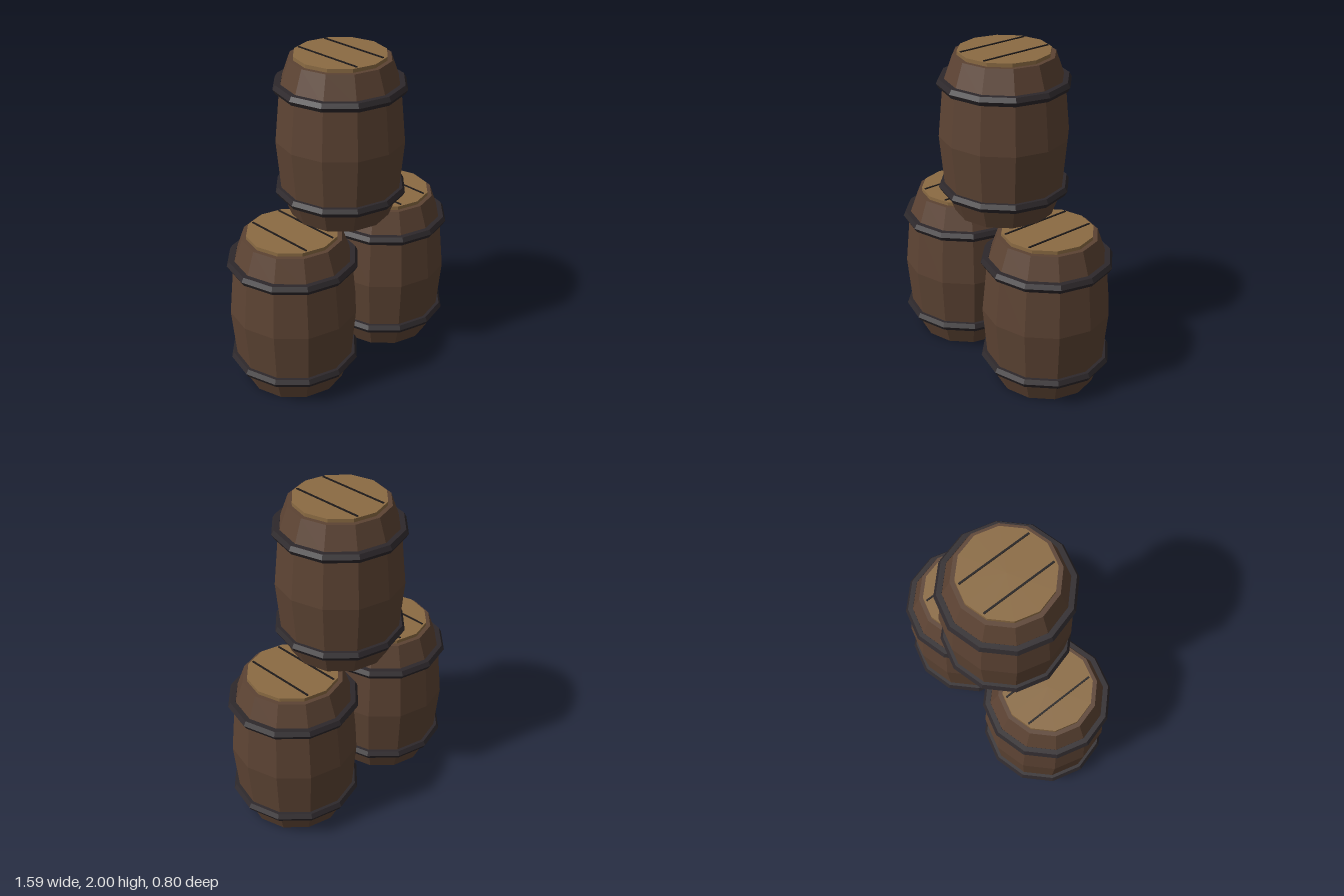
import * as THREE from 'three';

const SIDES = 12;

function material(name, color) {
  const m = new THREE.MeshStandardMaterial({ color, flatShading: true });
  m.name = name;
  return m;
}

function part(parent, name, geometry, mat, x = 0, y = 0, z = 0) {
  const mesh = new THREE.Mesh(geometry, mat);
  mesh.name = name;
  mesh.position.set(x, y, z);
  parent.add(mesh);
  return mesh;
}

export function createModel() {
  const staveWood = material('dark stave wood', 0x5c4333);
  const lidWood = material('light lid wood', 0x8b6b43);
  const iron = material('dark iron', 0x2d282b);
  const gap = material('black gap', 0x1e1a1a);

  // Bulging twelve-sided body, closed at both ends
  const profile = [[0, 0], [0.302, 0], [0.36, 0.162], [0.39, 0.488], [0.36, 0.812], [0.302, 0.976], [0, 0.976]]
    .map(([r, y]) => new THREE.Vector2(r, y));
  const bodyGeo = new THREE.LatheGeometry(profile, SIDES);
  const hoopGeo = new THREE.TorusGeometry(0.367, 0.031, 6, SIDES).rotateX(Math.PI / 2);
  const lidGeo = new THREE.CylinderGeometry(0.275, 0.275, 0.022, SIDES);
  const gapGeo = new THREE.BoxGeometry(0.011, 0.006, 0.47);

  function makeBarrel(name, x, y) {
    const barrel = new THREE.Group();
    barrel.name = name;
    barrel.position.set(x, y, 0);
    part(barrel, 'body', bodyGeo, staveWood);
    part(barrel, 'lowerHoop', hoopGeo, iron, 0, 0.162);
    part(barrel, 'upperHoop', hoopGeo, iron, 0, 0.812);
    part(barrel, 'lid', lidGeo, lidWood, 0, 0.987);
    // Plank seams across the lid
    for (const side of [-1, 1]) part(barrel, 'lidSeam', gapGeo, gap, side * 0.105, 1);
    return barrel;
  }

  // Two barrels side by side with a third on top
  const model = new THREE.Group();
  model.name = 'barrelStack';
  model.add(
    makeBarrel('leftBarrel', 0.398, 0),
    makeBarrel('rightBarrel', -0.398, 0),
    makeBarrel('topBarrel', 0, 0.997)
  );
  return model;
}
